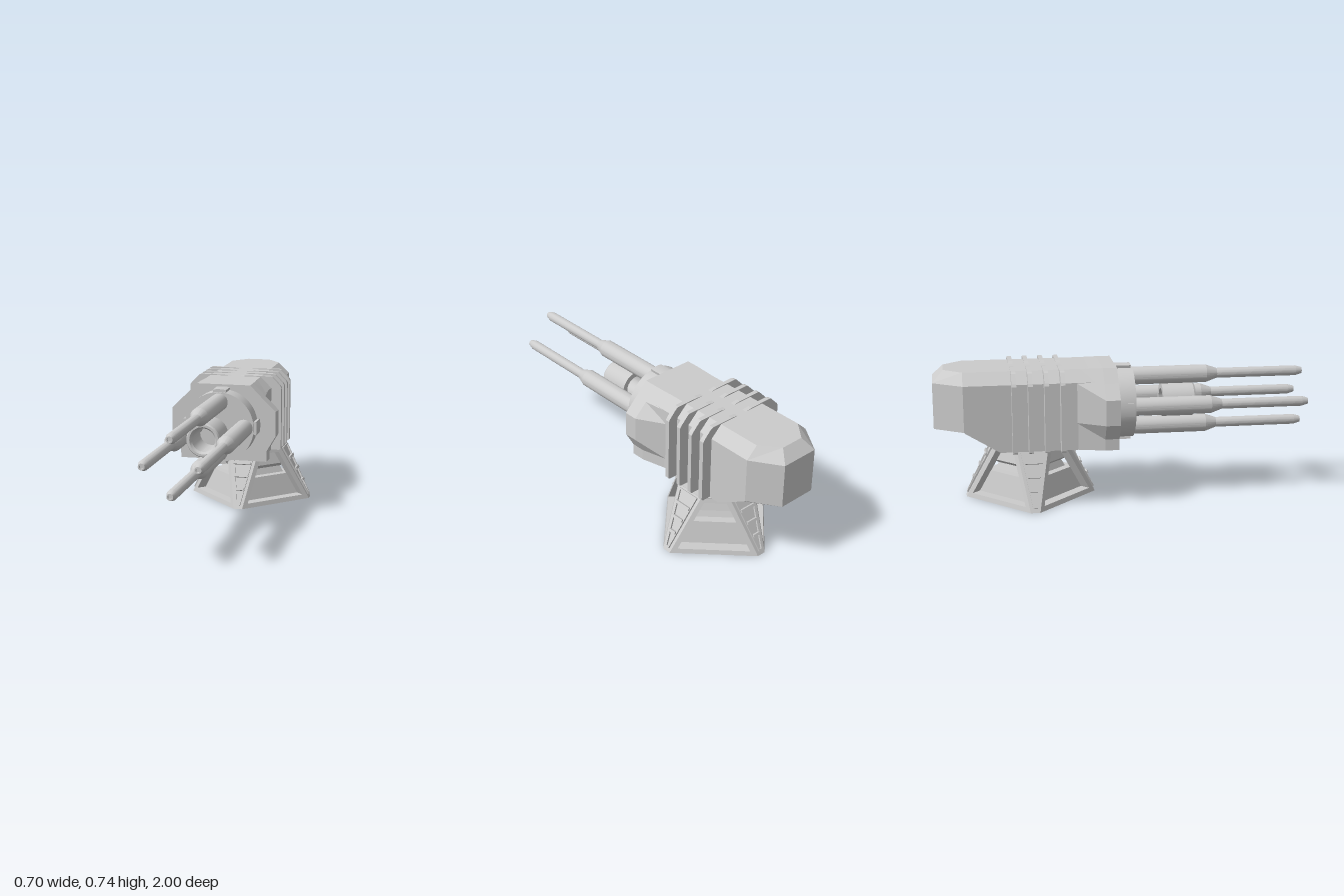
import * as THREE from 'three';
import { toCreasedNormals } from 'three/addons/utils/BufferGeometryUtils.js';

const flat = new THREE.MeshStandardMaterial({ color: 0xcccccc, flatShading: true });
const smooth = new THREE.MeshStandardMaterial({ color: 0xcccccc });

function mesh(name, geo, mat = flat) {
  const m = new THREE.Mesh(geo, mat);
  m.name = name;
  return m;
}

function fromTriangles(tris) {
  const g = new THREE.BufferGeometry();
  g.setAttribute('position', new THREE.Float32BufferAttribute(tris.flat(2), 3));
  g.computeVertexNormals();
  return g;
}

const quad = (a, b, c, d) => [[a, b, c], [a, c, d]];

// Joins equal-length rings (counter-clockwise about the direction of travel) and caps both ends.
function loft(rings) {
  const tris = [], n = rings[0].length;
  const centre = (r) => [0, 1, 2].map((k) => r.reduce((s, p) => s + p[k], 0) / n);
  const first = rings[0], last = rings[rings.length - 1];
  const c0 = centre(first), c1 = centre(last);
  for (let j = 0; j < n; j++) {
    const k = (j + 1) % n;
    for (let i = 0; i < rings.length - 1; i++) {
      tris.push(...quad(rings[i][j], rings[i][k], rings[i + 1][k], rings[i + 1][j]));
    }
    tris.push([c0, first[k], first[j]], [c1, last[j], last[k]]);
  }
  return fromTriangles(tris);
}

const shapeOf = (pts) => new THREE.Shape(pts.map((p) => new THREE.Vector2(...p)));
const mirrored = (half) => [...half, ...half.map(([x, y]) => [-x, y]).reverse()];

// Turned part lying along z; profile points are [radius, z].
function turned(name, profile, segments = 32) {
  const g = new THREE.LatheGeometry(profile.map((p) => new THREE.Vector2(...p)), segments);
  g.rotateX(Math.PI / 2);
  return mesh(name, toCreasedNormals(g, 0.3), smooth);
}

// One quarter of the pedestal: a windowed side panel, a corner face and its ladder.
function pedestalQuarter() {
  const quarter = new THREE.Group();
  quarter.name = 'pedestalQuarter';
  const on = (x, y, inset = 0) => [x - inset, y, 0.375 - 0.1 * y / 0.31 - x - inset];
  const outer = [on(0.025, 0), on(0.35, 0), on(0.19, 0.31), on(0.085, 0.31)];
  const window = [[0.05, 0.025], [0.317, 0.025], [0.183, 0.285], [0.1, 0.285]];
  const edge = window.map((p) => on(...p));
  const deep = window.map((p) => on(...p, 0.042));
  const tris = [];
  for (let i = 0; i < 4; i++) {
    const k = (i + 1) % 4;
    tris.push(...quad(outer[i], outer[k], edge[k], edge[i]));
    tris.push(...quad(edge[i], edge[k], deep[k], deep[i]));
  }
  tris.push(...quad([-0.025, 0, 0.35], outer[0], outer[3], [-0.085, 0.31, 0.19]));
  const frame = mesh('pedestalFrame', fromTriangles(tris));
  frame.material = flat.clone();
  frame.material.side = THREE.DoubleSide;
  quarter.add(frame);

  // Raised V-shaped rim with rungs, lying on the sloped corner face
  const ladder = new THREE.Group();
  ladder.name = 'ladder';
  ladder.position.z = 0.35;
  ladder.rotation.x = -Math.atan2(0.16, 0.31);
  const rim = shapeOf(mirrored([[0.012, 0.022], [0.066, 0.338]]));
  rim.holes.push(new THREE.Path(mirrored([[0.006, 0.032], [0.056, 0.33]]).map((p) => new THREE.Vector2(...p))));
  ladder.add(mesh('ladderRim', new THREE.ExtrudeGeometry(rim, { depth: 0.009, bevelEnabled: false })));
  for (const [y, w] of [[0.113, 0.046], [0.19, 0.072], [0.265, 0.1]]) {
    const rung = mesh('ladderRung', new THREE.BoxGeometry(w, 0.014, 0.018));
    rung.position.set(0, y, 0.008);
    ladder.add(rung);
  }
  quarter.add(ladder);
  return quarter;
}

function createPedestal() {
  const g = new THREE.Group();
  g.name = 'pedestal';
  for (let i = 0; i < 4; i++) {
    const q = pedestalQuarter();
    q.rotation.y = i * Math.PI / 2;
    g.add(q);
  }
  // Octagonal floor and top plates
  const octagon = (r, w, y) => [[r, w], [r, -w], [w, -r], [-w, -r], [-r, -w], [-r, w], [-w, r], [w, r]]
    .map(([x, z]) => [x, y, z]);
  g.add(mesh('floorPlate', loft([octagon(0.35, 0.025, 0), octagon(0.338, 0.025, 0.015)])));
  g.add(mesh('topPlate', loft([octagon(0.19, 0.082, 0.295), octagon(0.19, 0.085, 0.312)])));
  // Four-sided core seen through the windows
  const core = [[0.295, 0.002], [0.248, 0.145], [0.19, 0.145], [0.17, 0.18], [0.228, 0.207], [0.19, 0.3]];
  const coreGeo = new THREE.LatheGeometry(core.map((p) => new THREE.Vector2(...p)), 4).toNonIndexed();
  coreGeo.computeVertexNormals();
  g.add(mesh('pedestalCore', coreGeo));
  g.position.z = -0.49;
  return g;
}

function createHousing() {
  const g = new THREE.Group();
  g.name = 'housing';
  // Main hull, stacked from plan outlines
  const plan = (y, side, sideZ, rear, rearZ) => [
    [side, y, -0.05], [side, y, sideZ], [rear, y, rearZ],
    [-rear, y, rearZ], [-side, y, sideZ], [-side, y, -0.05]];
  g.add(mesh('hull', loft([
    plan(0.31, 0.208, -0.66, 0.105, -0.661),
    plan(0.42, 0.208, -0.84, 0.105, -0.841),
    plan(0.425, 0.208, -0.845, 0.105, -1),
    plan(0.67, 0.208, -0.845, 0.105, -1),
    plan(0.73, 0.145, -0.845, 0.065, -0.943)])));

  // Flared collar at the front
  const section = (half, z) => mirrored(half).map(([x, y]) => [x, y, z]);
  const wide = [[0.243, 0.31], [0.243, 0.37], [0.292, 0.455], [0.292, 0.59], [0.218, 0.662], [0.15, 0.731]];
  const narrow = [[0.206, 0.31], [0.206, 0.37], [0.206, 0.455], [0.206, 0.59], [0.206, 0.668], [0.145, 0.729]];
  g.add(mesh('frontFlare', loft([section(narrow, -0.26), section(wide, -0.115), section(wide, -0.04)])));

  // Cooling fins wrapped round the hull
  const fin = shapeOf(mirrored([[0.255, 0.313], [0.265, 0.32], [0.265, 0.672], [0.257, 0.685],
    [0.213, 0.73], [0.2, 0.735], [0.07, 0.735], [0.02, 0.729]]));
  for (const z of [-0.334, -0.418, -0.502, -0.586]) {
    const m = mesh('coolingFin', new THREE.ExtrudeGeometry(fin, { depth: 0.024, bevelEnabled: false }));
    m.position.z = z - 0.012;
    g.add(m);
  }
  return g;
}

function createGuns() {
  const g = new THREE.Group();
  g.name = 'gunCluster';
  g.add(turned('mountDisc', [[0, -0.05], [0.192, -0.05], [0.192, 0.058], [0, 0.058]], 48));
  const lug = new THREE.Shape();
  lug.absarc(0, 0, 0.207, -0.18, 0.18, false);
  lug.absarc(0, 0, 0.185, 0.18, -0.18, true);
  const barrel = [[0, 0.05], [0.048, 0.05], [0.048, 0.465], [0.027, 0.525], [0.027, 0.965],
    [0.017, 1], [0.011, 1], [0.011, 0.985], [0, 0.985]];
  for (let i = 0; i < 4; i++) {
    const a = i * Math.PI / 2;
    const l = mesh('mountLug', new THREE.ExtrudeGeometry(lug, { depth: 0.115, bevelEnabled: false, curveSegments: 8 }));
    l.rotation.z = a;
    l.position.z = -0.065;
    g.add(l);
    const b = turned('barrel', barrel);
    b.position.set(0.138 * Math.cos(a), 0.138 * Math.sin(a), 0);
    g.add(b);
  }
  // Open sleeve held between the barrels
  g.add(turned('centreSleeve', [[0.062, 0.22], [0.09, 0.22], [0.09, 0.39], [0.084, 0.4],
    [0.072, 0.4], [0.062, 0.385], [0.062, 0.22]], 40));
  g.position.y = 0.513;
  return g;
}

export function createModel() {
  const model = new THREE.Group();
  model.name = 'gunTurret';
  const head = new THREE.Group();
  head.name = 'turretHead';
  head.position.x = -0.057;
  head.add(createHousing(), createGuns());
  model.add(createPedestal(), head);
  return model;
}
